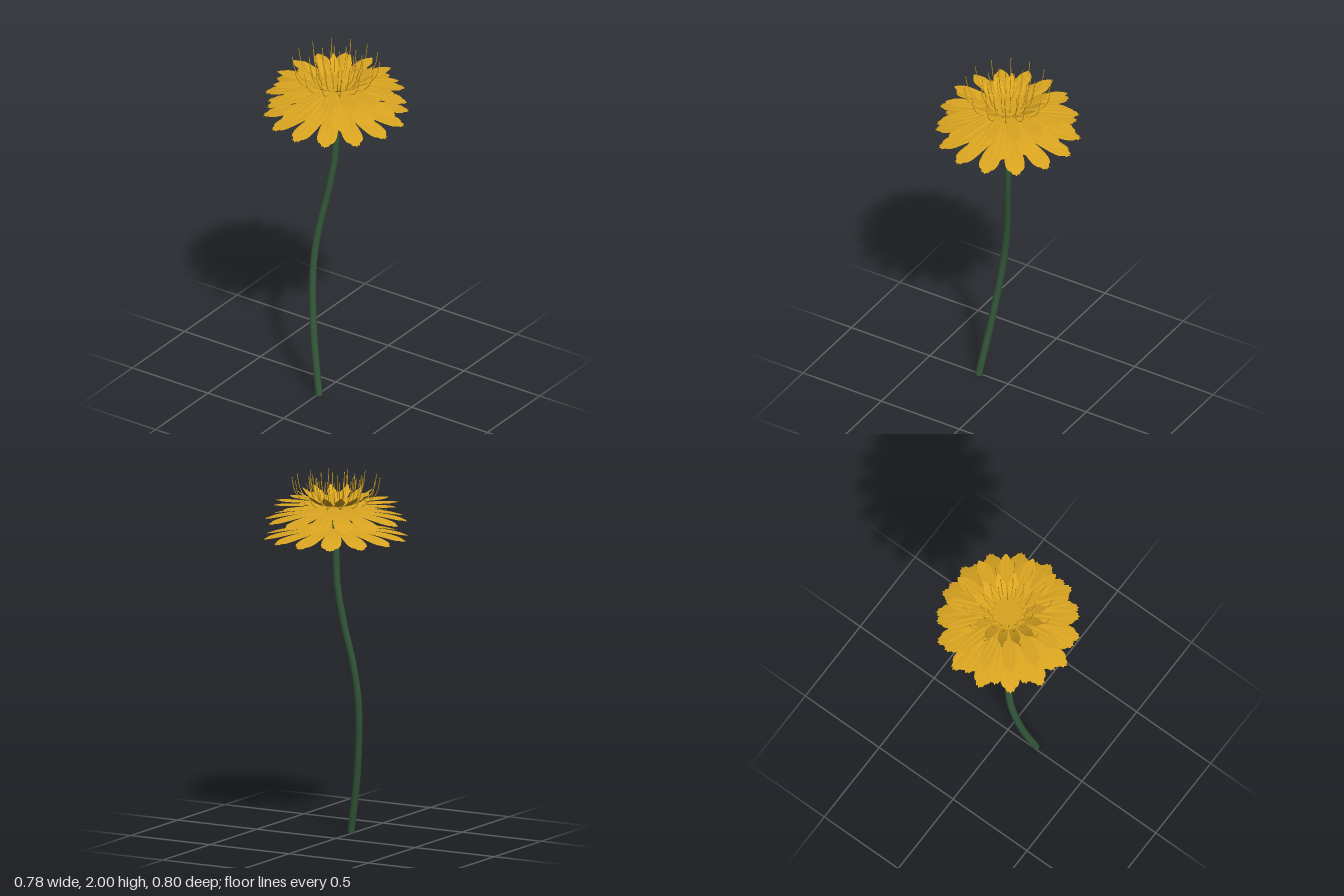
import * as THREE from 'three';

const COUNT = 14;
const STEP = (Math.PI * 2) / COUNT;

// Petal lying along +z: narrow base, broad outer part, toothed tip.
function petalGeometry({ length, halfWidth, teeth, toothDepth, rise, ripple }) {
  const geo = new THREE.PlaneGeometry(2, 1, 12, 16);
  const pos = geo.attributes.position;
  for (let i = 0; i < pos.count; i++) {
    const u = pos.getX(i);
    const t = pos.getY(i) + 0.5;
    let w = 0.08 + 0.92 * Math.pow(Math.sin((Math.PI / 2) * Math.min(1, t / 0.78)), 1.2);
    if (t > 0.78) w *= 1 - 0.32 * Math.pow((t - 0.78) / 0.22, 2);
    const tip = Math.pow(t, 8);
    const r = length * t - tip * (0.035 * u * u + toothDepth * (0.5 - 0.5 * Math.cos(u * Math.PI * teeth)));
    const y = rise(r / length) + ripple * Math.cos(u * Math.PI * 3) * Math.sin(Math.PI * t);
    pos.setXYZ(i, -u * w * halfWidth, y, r);
  }
  geo.computeVertexNormals();
  return geo;
}

// Repeats one part around the flower's axis.
function ring(name, geo, material, y, offset) {
  const group = new THREE.Group();
  group.name = name;
  for (let k = 0; k < COUNT; k++) {
    const mesh = new THREE.Mesh(geo, material);
    mesh.name = name + 'Part';
    mesh.rotation.y = offset + k * STEP;
    group.add(mesh);
  }
  group.position.y = y;
  return group;
}

// Thin filament running outwards and then curving up.
function filamentGeometry(radius, height, thickness) {
  const curve = new THREE.CatmullRomCurve3([
    new THREE.Vector3(0, 0, 0),
    new THREE.Vector3(0, 0.008, radius * 0.4),
    new THREE.Vector3(0, 0.035, radius * 0.75),
    new THREE.Vector3(0, 0.09, radius * 0.93),
    new THREE.Vector3(0, height, radius)
  ]);
  return new THREE.TubeGeometry(curve, 16, thickness, 4, false);
}

export function createModel() {
  const flower = new THREE.Group();
  flower.name = 'flower';
  const gold = new THREE.MeshStandardMaterial({ color: 0xdaa520, side: THREE.DoubleSide });
  gold.name = 'petalGold';
  const green = new THREE.MeshStandardMaterial({ color: 0x34573a });
  green.name = 'stemGreen';

  // Curving stem with closed ends
  const path = new THREE.CatmullRomCurve3([
    [0.012, 0.004, 0.18], [-0.055, 0.36, 0.135], [-0.09, 0.72, 0.088], [-0.076, 0.95, 0.056],
    [-0.035, 1.18, 0.026], [-0.005, 1.4, 0.005], [0, 1.58, 0], [0, 1.815, 0]
  ].map((p) => new THREE.Vector3(...p)));
  const stem = new THREE.Mesh(new THREE.TubeGeometry(path, 64, 0.02, 16, false), green);
  stem.name = 'stem';
  flower.add(stem);
  for (const [t, sign] of [[0, -1], [1, 1]]) {
    const cap = new THREE.Mesh(new THREE.CircleGeometry(0.02, 16), green);
    cap.name = 'stemEnd';
    cap.position.copy(path.getPointAt(t));
    cap.quaternion.setFromUnitVectors(new THREE.Vector3(0, 0, 1), path.getTangentAt(t).multiplyScalar(sign));
    flower.add(cap);
  }

  // Two wide, drooping petal layers, interleaved
  const outer = petalGeometry({
    length: 0.4, halfWidth: 0.054, teeth: 4, toothDepth: 0.012, ripple: 0.0015,
    rise: (t) => -0.053 * Math.pow(t, 2.4)
  });
  flower.add(ring('lowerPetals', outer, gold, 1.718, 0));
  const upper = ring('upperPetals', outer, gold, 1.813, STEP / 2);
  upper.scale.set(0.98, 0.95, 0.98);
  flower.add(upper);

  // Flat middle layer
  const middle = petalGeometry({
    length: 0.342, halfWidth: 0.039, teeth: 2, toothDepth: 0.004, ripple: 0.0015,
    rise: () => 0
  });
  flower.add(ring('middlePetals', middle, gold, 1.855, 0));

  // Small inner petals curving upwards
  const inner = petalGeometry({
    length: 0.212, halfWidth: 0.026, teeth: 2, toothDepth: 0.003, ripple: 0.001,
    rise: (t) => 0.088 * Math.pow(t, 1.8)
  });
  flower.add(ring('innerPetals', inner, gold, 1.834, STEP / 2));

  // Three rings of filaments
  flower.add(ring('outerFilaments', filamentGeometry(0.24, 0.17, 0.002), gold, 1.83, STEP / 2 + 0.04));
  flower.add(ring('middleFilaments', filamentGeometry(0.148, 0.17, 0.0025), gold, 1.83, STEP / 2));
  flower.add(ring('centreFilaments', filamentGeometry(0.112, 0.16, 0.002), gold, 1.83, 0));
  return flower;
}
